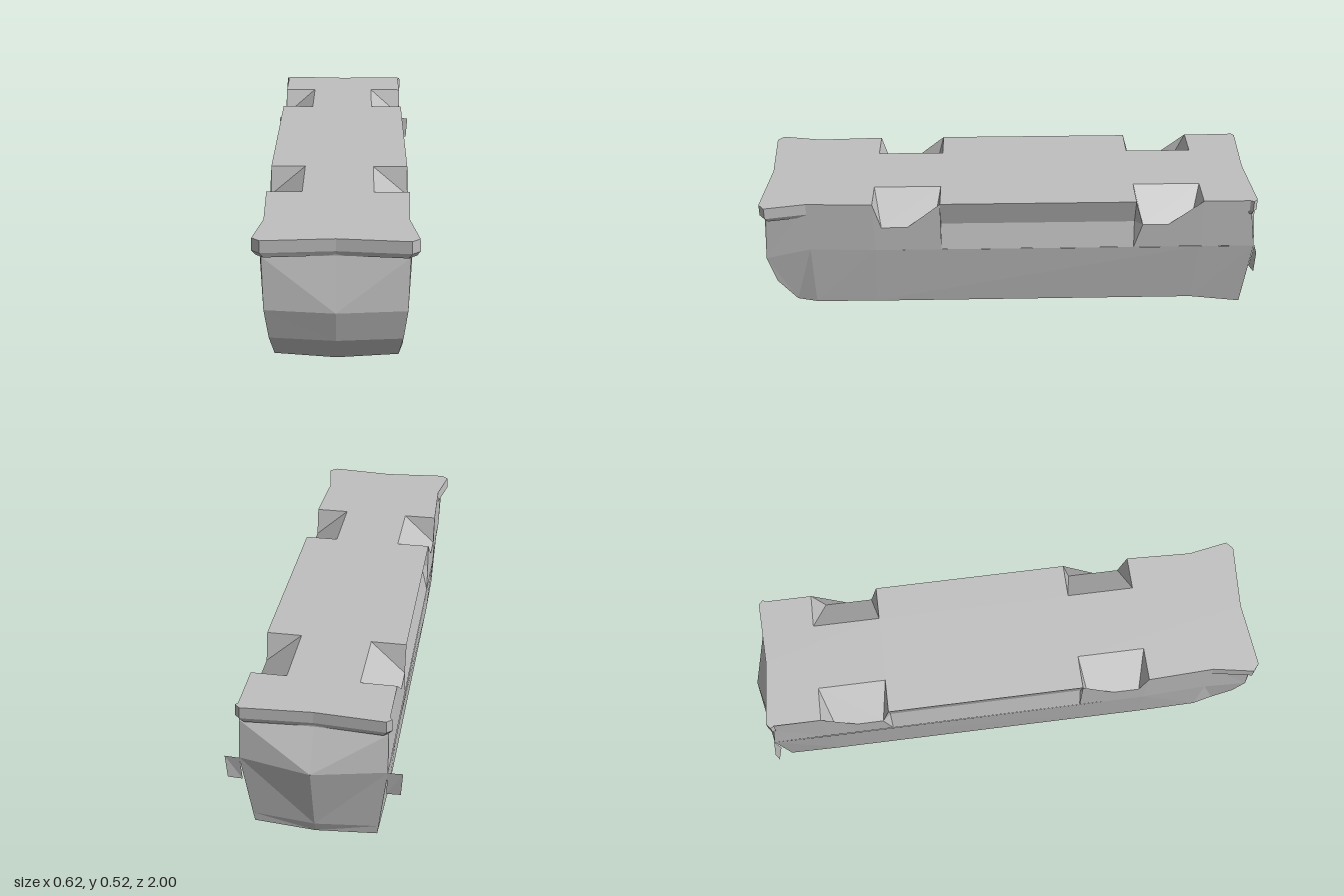
import * as THREE from 'three';

const TOP = 0.525, MID = 0.315, FLOOR = 0.42;

export function createModel() {
  const group = new THREE.Group();
  const grey = new THREE.MeshStandardMaterial({ color: 0xc0c0c0, side: THREE.DoubleSide });
  grey.name = 'hullGrey';

  // Flat polygons given for the +x half, mirrored to the other half
  function mirrored(name, polygons) {
    const pos = [];
    for (const p of polygons) {
      for (let i = 1; i < p.length - 1; i++) {
        const [a, b, c] = [p[0], p[i], p[i + 1]];
        pos.push(...a, ...b, ...c);
        for (const v of [a, c, b]) pos.push(-v[0], v[1], v[2]);
      }
    }
    const geo = new THREE.BufferGeometry();
    geo.setAttribute('position', new THREE.Float32BufferAttribute(pos, 3));
    geo.computeVertexNormals();
    const mesh = new THREE.Mesh(geo, grey);
    mesh.name = name;
    group.add(mesh);
  }
  // Quads between two rows of points, lower row first
  const strip = (low, high) => low.slice(1).map((p, i) => [low[i], p, high[i + 1], high[i]]);

  // Front to back lines of the hull
  const keel = [[0, 0.04, 0.89], [0, 0.028, 0.8], [0, 0.022, 0.56], [0, 0.022, -0.72], [0, 0, -0.93]];
  const chine = [[0.217, 0.05, 0.88], [0.235, 0.048, 0.8], [0.238, 0.048, 0.56], [0.236, 0.048, -0.72], [0.223, 0.013, -0.925]];
  const shoulder = [[0.25, MID, 0.8], [0.26, MID, 0.545], [0.262, MID, -0.73], [0.26, MID, -0.945]];

  // Rows of the bow and stern, centre and corner
  const bowCentre = [keel[0], [0, 0.15, 0.97], [0, 0.27, 1], [0, 0.46, 0.952], [0, TOP, 0.952]];
  const bowCorner = [chine[0], [0.23, 0.15, 0.95], [0.243, 0.27, 0.978], [0.252, 0.46, 0.955], [0.25, TOP, 0.955]];
  const sternCentre = [keel[4], [0, 0.045, -0.945], [0, MID, -1], [0, 0.46, -0.918], [0, TOP, -0.918]];
  const sternCorner = [chine[4], [0.228, 0.05, -0.927], shoulder[3], [0.257, 0.46, -0.922], [0.257, TOP, -0.925]];

  mirrored('bottom', strip(keel, chine));
  mirrored('bow', strip(bowCentre, bowCorner).map(([a, b, c, d]) => [a, d, c, b]));
  mirrored('stern', strip(sternCentre, sternCorner));
  mirrored('lowerSides', [
    [chine[0], chine[1], shoulder[0], bowCorner[2], bowCorner[1]],
    ...strip(chine.slice(1), shoulder),
  ]);

  // Upper sides between the bow, the notches and the stern
  const notches = [
    { front: 0.545, back: 0.285, floorFront: 0.515, floorBack: 0.312 },
    { front: -0.47, back: -0.73, floorFront: -0.5, floorBack: -0.685 },
  ];
  const side = (y, z, x = 0.26) => [x, y, z];
  mirrored('upperSides', [
    [bowCorner[2], shoulder[0], [0.25, TOP, 0.8], bowCorner[4], bowCorner[3]],
    [shoulder[0], shoulder[1], side(TOP, 0.545), [0.25, TOP, 0.8]],
    [side(MID, -0.73), shoulder[3], sternCorner[3], sternCorner[4], side(TOP, -0.73)],
    ...notches.map(n => [side(MID, n.front), side(MID, n.back), side(TOP, n.back),
      side(FLOOR, n.floorBack), side(FLOOR, n.floorFront)]),
    [side(MID, 0.545), side(FLOOR, 0.515), side(TOP, 0.545)],
  ]);

  // Sloping floors and triangular end walls of the notches
  mirrored('notches', notches.flatMap(n => {
    const f = side(FLOOR, n.floorFront), b = side(FLOOR, n.floorBack);
    const inF = side(TOP, n.front, 0.13), inB = side(TOP, n.back, 0.13);
    return [[f, b, inB, inF], [inF, side(TOP, n.front), f], [inB, b, side(TOP, n.back)]];
  }));

  // Hollowed panel between the notches, with its pointed ends
  const [z0, z1] = [0.285, -0.47];
  const hollow = [side(FLOOR, z0, 0.235), side(FLOOR, z1, 0.235)];
  const low = [side(MID, z0), side(MID, z1)], high = [side(TOP, z0), side(TOP, z1)];
  mirrored('sidePanels', [
    ...strip(low, hollow), ...strip(hollow, high),
    [low[0], hollow[0], side(FLOOR, 0.312)], [hollow[0], high[0], side(FLOOR, 0.312)],
    [low[1], side(FLOOR, -0.5), hollow[1]], [hollow[1], side(FLOOR, -0.5), high[1]],
  ]);

  // Flat deck with notched edges
  const half = [[0.25, 0.978], [0.278, 0.955], [0.25, 0.8], [0.26, 0.545], [0.13, 0.545], [0.13, 0.285],
    [0.26, 0.285], [0.26, -0.47], [0.13, -0.47], [0.13, -0.73], [0.26, -0.73], [0.26, -0.91],
    [0.268, -0.922], [0.25, -0.938]];
  const outline = [[0, 0.958], ...half, [0, -0.924], ...half.map(([x, z]) => [-x, z]).reverse()];
  const deckShape = new THREE.Shape(outline.map(([x, z]) => new THREE.Vector2(x, -z)));
  const deck = new THREE.Mesh(new THREE.ShapeGeometry(deckShape).rotateX(-Math.PI / 2).translate(0, TOP, 0), grey);
  deck.name = 'deck';
  group.add(deck);

  // Rims under the deck ends: upright band, bevel and underside
  function rim(name, path, flip) {
    const ring = (y, dx, dz) => path.map(([x, z]) => [x && x - dx, y, z - dz]);
    const s = flip ? -1 : 1;
    const rings = [ring(TOP, 0, 0), ring(0.48, -0.002, 0), ring(0.461, 0.01, 0.008 * s), ring(0.461, 0.04, 0.035 * s)];
    const quads = rings.slice(1).flatMap((r, i) => strip(r, rings[i]));
    mirrored(name, flip ? quads.map(q => q.slice().reverse()) : quads);
  }
  rim('bowRim', [[0, 0.958], [0.25, 0.978], [0.278, 0.955], [0.25, 0.8]], false);
  rim('sternRim', [[0, -0.924], [0.25, -0.938], [0.268, -0.922], [0.26, -0.91]], true);

  // Small flaps beside the stern
  mirrored('sternFlaps', [[[0.255, 0.213, -0.937], [0.306, 0.222, -0.945], [0.312, MID, -0.945], [0.258, MID, -0.948]]]);

  return group;
}
